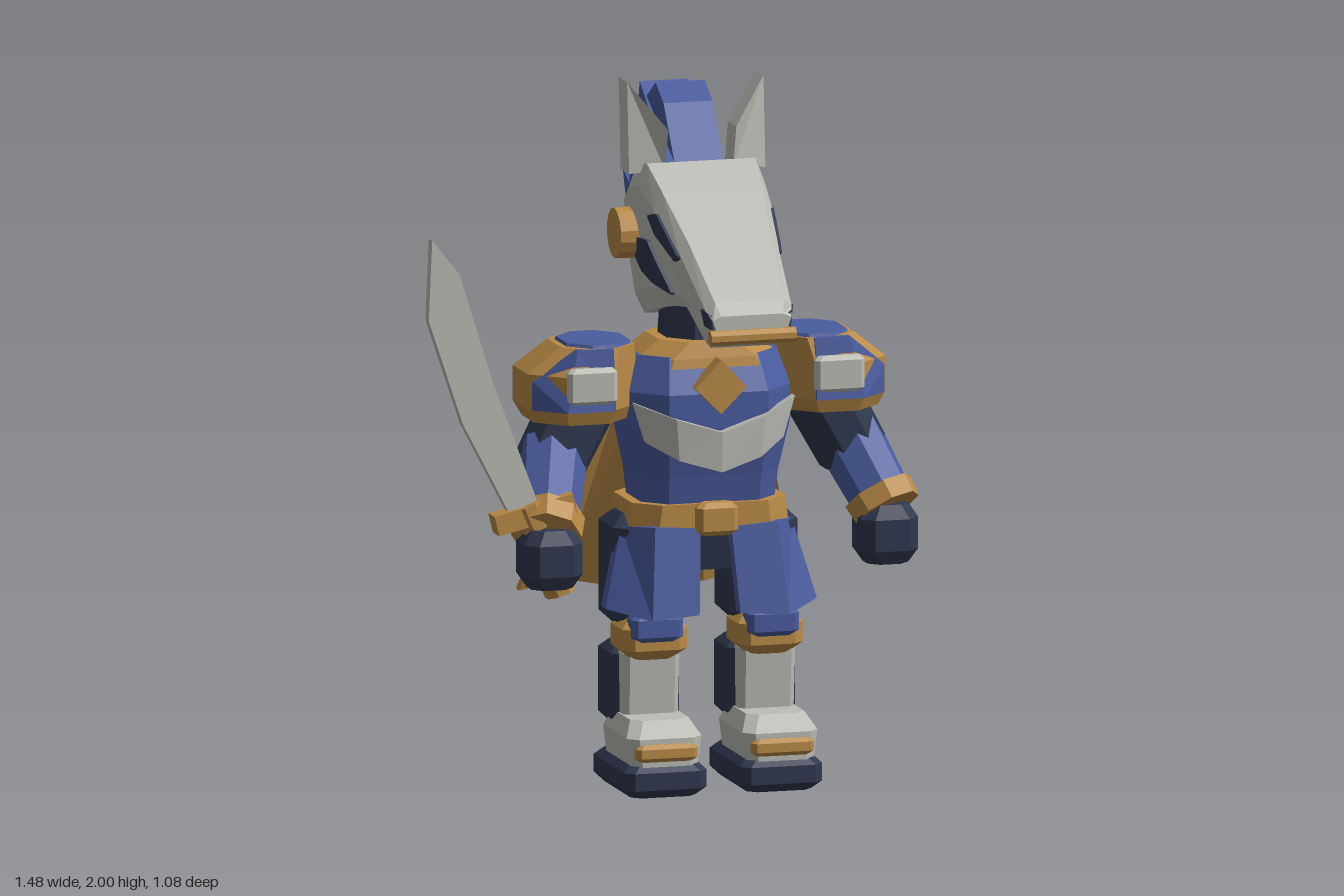
import * as THREE from 'three';

const mat = (name, color) => Object.assign(new THREE.MeshStandardMaterial({ color }), { name });

// Closed faceted solid: flips inside-out triangles and gives flat normals.
function solid(geometry) {
  const g = geometry.index ? geometry.toNonIndexed() : geometry;
  const p = g.attributes.position;
  const v = [0, 1, 2].map(() => new THREE.Vector3());
  let volume = 0;
  for (let i = 0; i < p.count; i += 3) {
    v.forEach((w, k) => w.fromBufferAttribute(p, i + k));
    volume += v[0].dot(v[1].clone().cross(v[2]));
  }
  if (volume < 0) {
    for (let i = 0; i < p.count; i += 3) {
      v.forEach((w, k) => w.fromBufferAttribute(p, i + k));
      p.setXYZ(i + 1, v[2].x, v[2].y, v[2].z);
      p.setXYZ(i + 2, v[1].x, v[1].y, v[1].z);
    }
  }
  g.deleteAttribute('uv');
  g.computeVertexNormals();
  return g;
}

// Skin over matching rings of [x, y, z], capped at both ends.
function loft(rings) {
  const n = rings[0].length, index = [];
  rings.slice(1).forEach((_, r) => {
    for (let i = 0; i < n; i++) {
      const a = r * n + i, b = r * n + (i + 1) % n;
      index.push(a, b, b + n, a, b + n, a + n);
    }
  });
  const end = (rings.length - 1) * n;
  for (let i = 1; i < n - 1; i++) index.push(0, i + 1, i, end, end + i, end + i + 1);
  const g = new THREE.BufferGeometry();
  g.setAttribute('position', new THREE.Float32BufferAttribute(rings.flat(2), 3));
  g.setIndex(index);
  return solid(g);
}

// Stacked bevelled rectangles, each row [y, x0, x1, z0, z1, bevel].
const stack = (rows) => loft(rows.map(([y, x0, x1, z0, z1, b]) => [
  [x0 + b, y, z0], [x1 - b, y, z0], [x1, y, z0 + b], [x1, y, z1 - b],
  [x1 - b, y, z1], [x0 + b, y, z1], [x0, y, z1 - b], [x0, y, z0 + b]]));

// Box with bevelled edges all round.
function block(x0, x1, y0, y1, z0, z1, b) {
  const inner = [x0 + b, x1 - b, z0 + b, z1 - b, b], outer = [x0, x1, z0, z1, b];
  return stack([[y0, ...inner], [y0 + b, ...outer], [y1 - b, ...outer], [y1, ...inner]]);
}

// Folded plate: each column is [top point, bottom point], thickened along one axis.
function slab(cols, thickness, axis = 2) {
  const n = cols.length - 1, g = new THREE.BoxGeometry(1, 1, 1, n, 1, 1), p = g.attributes.position;
  for (let i = 0; i < p.count; i++) {
    const q = [...cols[Math.round((p.getX(i) + 0.5) * n)][p.getY(i) > 0 ? 0 : 1]];
    q[axis] += p.getZ(i) * thickness;
    p.setXYZ(i, ...q);
  }
  return solid(g);
}

// Tapered cylinder from a to b.
function limb(a, b, ra, rb, sides = 8) {
  const A = new THREE.Vector3(...a), B = new THREE.Vector3(...b), d = B.clone().sub(A);
  const g = new THREE.CylinderGeometry(rb, ra, d.length(), sides).rotateY(Math.PI / sides);
  g.applyQuaternion(new THREE.Quaternion().setFromUnitVectors(new THREE.Vector3(0, 1, 0), d.normalize()));
  return solid(g.translate(...A.add(B).multiplyScalar(0.5).toArray()));
}

export function createModel() {
  const blue = mat('blue armour', 0x4a5c9f), gold = mat('gold trim', 0xbb8b47);
  const silver = mat('silver plate', 0xbdbdb7), dark = mat('dark cloth', 0x2f384f);
  const model = new THREE.Group();
  model.name = 'armouredHorseKnight';
  const body = new THREE.Group();
  body.name = 'body';
  body.position.x = 0.125;
  model.add(body);
  const add = (name, geometry, material) => {
    const m = new THREE.Mesh(geometry, material);
    m.name = name;
    body.add(m);
    return m;
  };

  // Head: stations of [top z, top y, bottom z, bottom y, half width]
  const head = add('head', loft([
    [0.515, 1.425, 0.515, 1.35, 0.115], [0.49, 1.46, 0.40, 1.315, 0.127], [0.30, 1.59, 0.22, 1.40, 0.145],
    [0.12, 1.71, 0.10, 1.385, 0.172], [0, 1.775, 0, 1.36, 0.184], [-0.10, 1.755, -0.07, 1.34, 0.184],
    [-0.17, 1.70, -0.14, 1.32, 0.178], [-0.24, 1.54, -0.235, 1.46, 0.15],
  ].map(([zt, yt, zb, yb, w]) =>
    [[w - 0.025, 0], [w, 0.15], [w * 0.85, 0.85], [w * 0.7, 1], [-w * 0.7, 1], [-w * 0.85, 0.85], [-w, 0.15], [0.025 - w, 0]]
      .map(([x, t]) => [x, yt + (yb - yt) * t, zt + (zb - zt) * t]))), silver);

  // Face markings follow the head surface; columns are [z, top y, bottom y]
  const ray = new THREE.Raycaster();
  const skin = (y, z) => {
    ray.set(new THREE.Vector3(2, y, z), new THREE.Vector3(-1, 0, 0));
    const hit = ray.intersectObject(head)[0];
    return hit ? hit.point.x : 0.12;
  };
  const marking = (s, cols) => slab(cols.map(([z, hi, lo]) => [hi, lo].map((y) => [s * skin(y, z), y, z])), 0.018, 0);

  for (const s of [1, -1]) {
    const side = s > 0 ? 'left' : 'right';
    const part = (name, geometry, material) => add(side + name, geometry, material);
    const blk = (x0, x1, ...rest) => block(Math.min(s * x0, s * x1), Math.max(s * x0, s * x1), ...rest);
    const rows = (list) => stack(list.map(([y, a, b, ...r]) => [y, Math.min(s * a, s * b), Math.max(s * a, s * b), ...r]));
    const plate = (cols, t) => slab(cols.map((c) => c.map(([x, y, z]) => [s * x, y, z])), t);

    // Face details and ears
    part('Eye', marking(s, [[0.285, 1.56, 1.553], [0.255, 1.58, 1.54], [0.14, 1.655, 1.585], [0.117, 1.652, 1.595], [0.08, 1.642, 1.635]]), dark);
    part('CheekMarking', marking(s, [[0.185, 1.437, 1.43], [0.1, 1.52, 1.44], [0.055, 1.565, 1.445], [-0.02, 1.56, 1.465], [-0.09, 1.55, 1.51]]), dark);
    part('Nostril', marking(s, [[0.505, 1.425, 1.385], [0.46, 1.44, 1.39]]), dark);
    part('CheekDisc', limb([s * 0.15, 1.56, -0.11], [s * 0.223, 1.56, -0.11], 0.075, 0.072, 14), gold);
    part('Ear', plate([[[0.1, 1.87, -0.03], [0.1, 1.75, -0.06]], [[0.2, 2, -0.1], [0.2, 1.74, -0.08]]], 0.085), silver);

    // Shoulder guard
    part('Pauldron', rows([[1.06, 0.23, 0.505, -0.15, 0.13, 0.08], [1.1, 0.205, 0.525, -0.185, 0.145, 0.09],
      [1.2, 0.205, 0.525, -0.185, 0.145, 0.09], [1.275, 0.215, 0.43, -0.135, 0.125, 0.06]]), gold);
    part('PauldronCap', rows([[1.27, 0.22, 0.415, -0.12, 0.12, 0.06], [1.284, 0.225, 0.41, -0.115, 0.115, 0.06]]), blue);
    part('PauldronFront', plate([[[0.295, 1.275, 0.125], [0.295, 1.1, 0.148]], [[0.4, 1.275, 0.12], [0.435, 1.1, 0.148]],
      [[0.515, 1.18, 0.072], [0.515, 1.1, 0.072]]], 0.02), blue);
    part('PauldronBadge', blk(0.29, 0.435, 1.12, 1.225, 0.12, 0.165, 0.012), silver);

    // Arms: the right hand is held further forward
    const f = s > 0 ? 0 : 1;
    const shoulder = [s * 0.34, 1.12, -0.02], elbow = [s * 0.45, 0.92, -0.02 + f * 0.02];
    const wrist = [s * 0.51, 0.785, 0.09 + f * 0.11], mid = [s * 0.435, 0.965, -0.025 + f * 0.02];
    part('UpperArm', limb(shoulder, elbow, 0.11, 0.105), dark);
    part('Forearm', limb(mid, wrist, 0.1, 0.09), blue);
    const cuff = (t) => wrist.map((w, i) => w + (mid[i] - w) * t);
    part('Cuff', limb(cuff(0.15), cuff(-0.1), 0.105, 0.1), gold);
    const hx = s * 0.51, hz = 0.11 + f * 0.12;
    part('Hand', stack([[0.62, hx - 0.06, hx + 0.06, hz - 0.06, hz + 0.05, 0.03], [0.66, hx - 0.085, hx + 0.085, hz - 0.085, hz + 0.07, 0.035],
      [0.75, hx - 0.085, hx + 0.085, hz - 0.085, hz + 0.07, 0.035], [0.79, hx - 0.06, hx + 0.06, hz - 0.06, hz + 0.05, 0.03]]), dark);

    // Hip plate
    part('HipPlate', plate([[[0.045, 0.75, 0.13], [0.06, 0.51, 0.17]], [[0.18, 0.76, 0.135], [0.2, 0.5, 0.18]],
      [[0.25, 0.75, 0.03], [0.31, 0.525, 0.08]]], 0.045), blue);

    // Leg, boot and sole
    part('Thigh', block(s * 0.17 - 0.1, s * 0.17 + 0.1, 0.45, 0.78, -0.14, 0.08, 0.035), dark);
    part('Knee', block(s * 0.17 - 0.095, s * 0.17 + 0.095, 0.375, 0.495, -0.03, 0.145, 0.03), gold);
    part('KneeCap', block(s * 0.17 - 0.075, s * 0.17 + 0.075, 0.43, 0.51, 0.08, 0.16, 0.015), blue);
    part('Calf', block(s * 0.17 - 0.1, s * 0.17 + 0.1, 0.17, 0.405, -0.135, 0.045, 0.025), dark);
    part('ShinGuard', stack([[0.17, s * 0.17 - 0.08, s * 0.17 + 0.08, 0.02, 0.085, 0.015],
      [0.39, s * 0.17 - 0.082, s * 0.17 + 0.082, 0.02, 0.1, 0.015]]), silver);
    part('Boot', stack([[0.09, s * 0.17 - 0.1, s * 0.17 + 0.1, -0.055, 0.24, 0.03], [0.17, s * 0.17 - 0.11, s * 0.17 + 0.11, -0.055, 0.24, 0.03],
      [0.215, s * 0.17 - 0.085, s * 0.17 + 0.085, -0.045, 0.19, 0.03]]), silver);
    part('ToeBand', block(s * 0.17 - 0.09, s * 0.17 + 0.09, 0.105, 0.155, 0.2, 0.255, 0.012), gold);
    part('Sole', block(s * 0.17 - 0.12, s * 0.17 + 0.12, 0, 0.1, -0.112, 0.25, 0.025), dark);
  }

  add('mouthBar', limb([-0.125, 1.365, 0.517], [0.125, 1.365, 0.517], 0.022, 0.022), gold);

  // Mane: a row of wedges, side outlines as [z, y]
  [
    [[-0.02, 1.77], [-0.13, 1.92], [-0.21, 1.965], [-0.3, 1.91], [-0.12, 1.82]],
    [[-0.2, 1.825], [-0.37, 1.94], [-0.41, 1.77]],
    [[-0.31, 1.7], [-0.49, 1.815], [-0.47, 1.63]],
    [[-0.36, 1.58], [-0.54, 1.66], [-0.47, 1.48]],
    [[-0.335, 1.41], [-0.51, 1.53], [-0.37, 1.355]],
  ].forEach((outline, i) => add('mane' + (i + 1), loft([-0.072, 0.072].map((x) => outline.map(([z, y]) => [x, y, z]))), blue));

  // Neck, collar and torso
  add('neck', limb([0, 1.2, -0.015], [0, 1.42, -0.015], 0.125, 0.11), dark);
  add('collar', stack([[1.19, -0.215, 0.215, -0.18, 0.15, 0.08], [1.235, -0.2, 0.2, -0.17, 0.14, 0.08], [1.28, -0.14, 0.14, -0.155, 0.125, 0.07]]), gold);
  add('torso', stack([[0.76, -0.19, 0.19, -0.14, 0.12, 0.06], [0.9, -0.205, 0.205, -0.155, 0.145, 0.07], [1.04, -0.235, 0.235, -0.175, 0.18, 0.09],
    [1.14, -0.235, 0.235, -0.18, 0.18, 0.09], [1.24, -0.21, 0.21, -0.165, 0.13, 0.08]]), blue);
  add('chestChevron', slab([[[-0.235, 1.115, 0.125], [-0.2, 1.0, 0.13]], [[-0.13, 1.075, 0.19], [-0.12, 0.955, 0.18]], [[0, 1.035, 0.205], [0, 0.92, 0.2]],
    [[0.13, 1.075, 0.19], [0.12, 0.955, 0.18]], [[0.235, 1.115, 0.125], [0.2, 1.0, 0.13]]], 0.03), silver);
  add('chestDiamond', loft([0.15, 0.205].map((z) => [[0, 1.085, z], [0.075, 1.16, z], [0, 1.24, z], [-0.075, 1.16, z]])), gold);
  add('belt', stack([[0.74, -0.235, 0.235, -0.175, 0.145, 0.07], [0.82, -0.225, 0.225, -0.175, 0.145, 0.07]]), gold);
  add('buckle', block(-0.06, 0.06, 0.73, 0.825, 0.12, 0.18, 0.015), gold);
  add('pelvis', stack([[0.62, -0.12, 0.12, -0.11, 0.09, 0.05], [0.75, -0.2, 0.2, -0.14, 0.12, 0.06]]), dark);

  // Pleated cape flaring down the back
  add('cape', slab(Array.from({ length: 7 }, (_, i) => {
    const u = i / 3 - 1, fold = i % 2;
    return [[0.2 * u, 1.21, -0.205 - 0.02 * fold], [0.405 * u, 0.485 + 0.02 * fold, -0.455 - 0.04 * fold]];
  }), 0.035), gold);

  // Sword in the right hand
  const bladeEdge = [[-0.545, 0.865, -0.625, 0.83], [-0.675, 1.21, -0.765, 1.1], [-0.775, 1.53, -0.865, 1.4], [-0.85, 1.625, -0.855, 1.63]];
  add('blade', slab(bladeEdge.map(([a, b, c, d]) => [[a, b, 0.21], [c, d, 0.21]]), 0.035), silver);
  add('crossGuard', loft([[-0.67, 0.805], [-0.44, 0.86]].map(([x, y]) =>
    [[x - 0.007, y + 0.028, 0.18], [x + 0.007, y - 0.028, 0.18], [x + 0.007, y - 0.028, 0.245], [x - 0.007, y + 0.028, 0.245]])), gold);
  add('guardCentre', limb([-0.575, 0.86, 0.212], [-0.545, 0.79, 0.212], 0.045, 0.045), gold);
  add('grip', limb([-0.56, 0.82, 0.212], [-0.485, 0.63, 0.212], 0.033, 0.033), dark);
  add('pommel', limb([-0.493, 0.65, 0.212], [-0.475, 0.6, 0.212], 0.046, 0.046), gold);

  return model;
}
